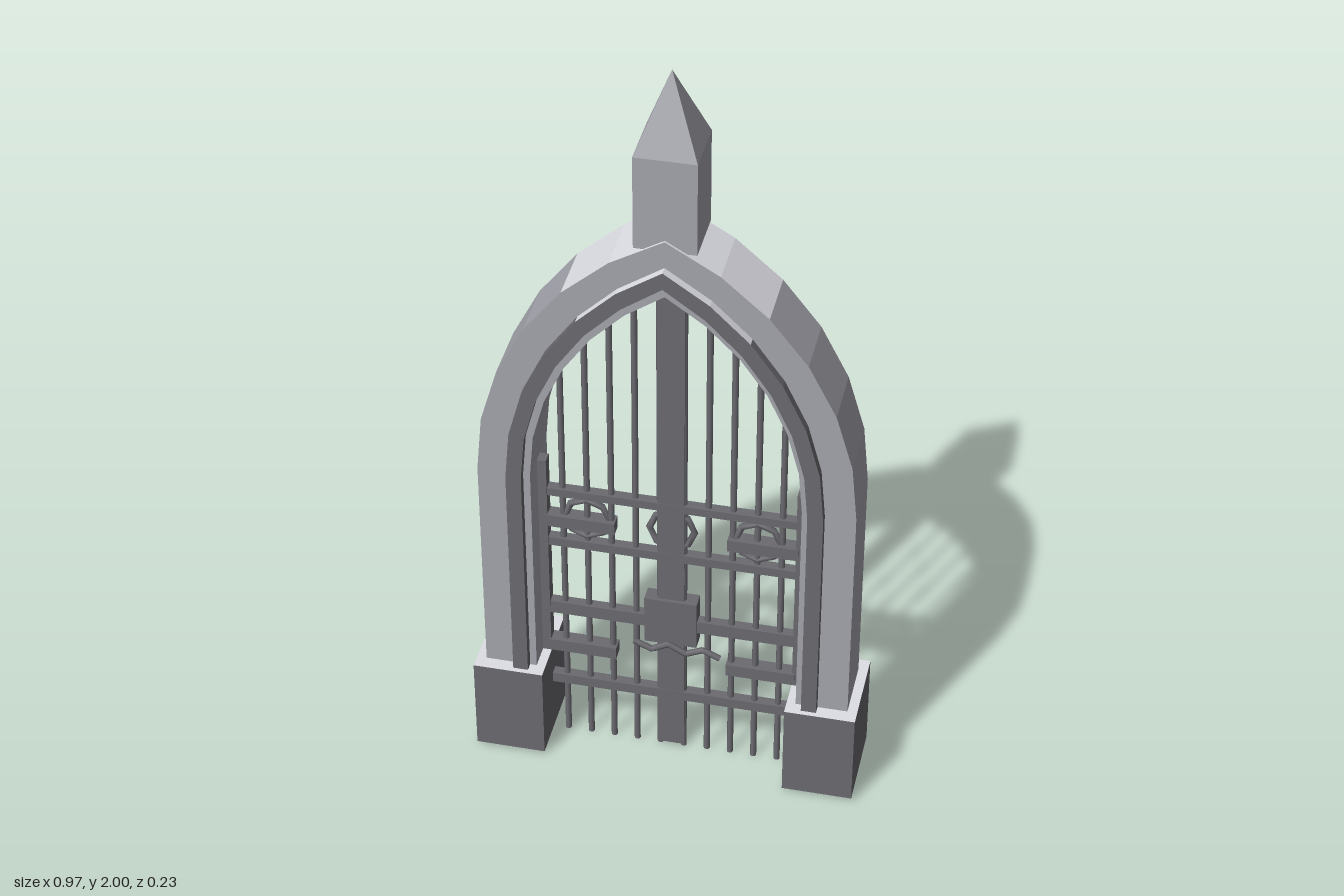
import * as THREE from 'three';

const SPRING = 0.88; // height where the pointed arch starts to curve

// Centre offset and radius of the arc through (w, SPRING) and (0, apex)
function arc(w, apex) {
  const h = apex - SPRING;
  const c = (h * h - w * w) / (2 * w);
  return { c, r: c + w };
}

// Pointed arch outline from right foot over the apex to left foot
function archPoints(w, apex, foot, n = 6) {
  const { c, r } = arc(w, apex);
  const end = Math.acos(c / r);
  const half = [new THREE.Vector2(w, foot)];
  for (let i = 0; i <= n; i++) {
    const a = (end * i) / n;
    half.push(new THREE.Vector2(i === n ? 0 : r * Math.cos(a) - c, SPRING + r * Math.sin(a)));
  }
  const other = half.slice(0, -1).reverse().map(p => new THREE.Vector2(-p.x, p.y));
  return half.concat(other);
}

// Extruded band between two pointed arches
function archBand(outer, inner, depth, foot) {
  const pts = archPoints(...outer, foot).concat(archPoints(...inner, foot).reverse());
  const geo = new THREE.ExtrudeGeometry(new THREE.Shape(pts), { depth, bevelEnabled: false });
  return geo.translate(0, 0, -depth / 2);
}

// Puts the faces that look upward into material group 1, the rest into group 0
function groupUpwardFaces(geo) {
  const flat = geo.index ? geo.toNonIndexed() : geo;
  flat.clearGroups();
  const normal = flat.attributes.normal;
  for (let i = 0; i < normal.count; i += 3) flat.addGroup(i, 3, normal.getY(i) > 0.7 ? 1 : 0);
  return flat;
}

export function createModel() {
  const group = new THREE.Group();
  const material = (name, color) => {
    const m = new THREE.MeshStandardMaterial({ color });
    m.name = name;
    return m;
  };
  const stone = material('mid grey stone', 0xa5a5ad);
  const iron = material('dark iron grey', 0x6a6a70);
  const pale = material('pale weathered stone', 0xdedee6);

  const add = (name, geo, mat, x = 0, y = 0, z = 0) => {
    const m = new THREE.Mesh(geo, mat);
    m.name = name;
    m.position.set(x, y, z);
    group.add(m);
  };
  // Box given by its limits in x and y, and its depth
  const box = (name, mat, x0, x1, y0, y1, d) =>
    add(name, new THREE.BoxGeometry(x1 - x0, y1 - y0, d), mat, (x0 + x1) / 2, (y0 + y1) / 2);

  // Stone arch and proud moulding around the opening, both with pale upper faces
  add('arch', groupUpwardFaces(archBand([0.46, 1.6], [0.33, 1.45], 0.16, 0.1)), [stone, pale]);
  add('archMoulding', groupUpwardFaces(archBand([0.385, 1.53], [0.347, 1.485], 0.204, 0.1)), [iron, pale]);

  // Finial: square shaft and pyramid
  box('finialShaft', stone, -0.074, 0.074, 1.57, 1.81, 0.148);
  const tip = new THREE.ConeGeometry(0.074 * Math.SQRT2, 0.19, 4, 1).rotateY(Math.PI / 4).toNonIndexed();
  tip.computeVertexNormals();
  add('finialTip', tip, stone, 0, 1.905);

  // Central meeting post
  box('meetingPost', iron, -0.033, 0.033, 0.01, 1.41, 0.024);

  // Full-width rails
  for (const [y, h] of [[0.78, 0.022], [0.625, 0.024], [0.412, 0.036], [0.175, 0.028]])
    box('rail', iron, -0.315, 0.315, y - h / 2, y + h / 2, 0.026);

  const inner = arc(0.33, 1.45);
  for (const s of [-1, 1]) {
    // Plinth with pale top face
    const plinth = groupUpwardFaces(new THREE.BoxGeometry(0.177, 0.26, 0.23));
    add('plinth', plinth, [iron, pale], s * 0.396, 0.14);

    // Hinge post and straps
    box('hingePost', iron, s * 0.319 - 0.011, s * 0.319 + 0.011, 0.05, 0.875, 0.03);
    for (const y of [0.693, 0.29])
      box('hingeStrap', iron, s * 0.227 - 0.087, s * 0.227 + 0.087, y - 0.017, y + 0.017, 0.036);

    // Upright bars reaching the underside of the arch
    for (let i = 0; i < 5; i++) {
      const x = 0.03 + 0.0605 * i;
      const top = SPRING + Math.sqrt(inner.r ** 2 - (x + inner.c) ** 2) + 0.008;
      add('uprightBar', new THREE.CylinderGeometry(0.008, 0.008, top, 8), iron, s * x, top / 2);
    }
  }

  // Ornamental rings
  for (const x of [-0.212, 0, 0.212])
    add('ring', new THREE.TorusGeometry(0.056, 0.009, 6, 8), iron, x, 0.705, 0);

  // Lock box
  add('lockBox', new THREE.BoxGeometry(0.132, 0.138, 0.042), iron, 0, 0.421, 0);

  // Hanging chain in straight zigzag runs
  const chain = new THREE.CurvePath();
  const pts = [[-0.09, 0.358], [-0.045, 0.338], [-0.003, 0.362], [0.042, 0.338], [0.085, 0.358], [0.128, 0.338]]
    .map(([x, y]) => new THREE.Vector3(x, y, 0.032));
  for (let i = 0; i < pts.length - 1; i++) chain.add(new THREE.LineCurve3(pts[i], pts[i + 1]));
  add('chain', new THREE.TubeGeometry(chain, 40, 0.008, 6), iron);

  return group;
}
